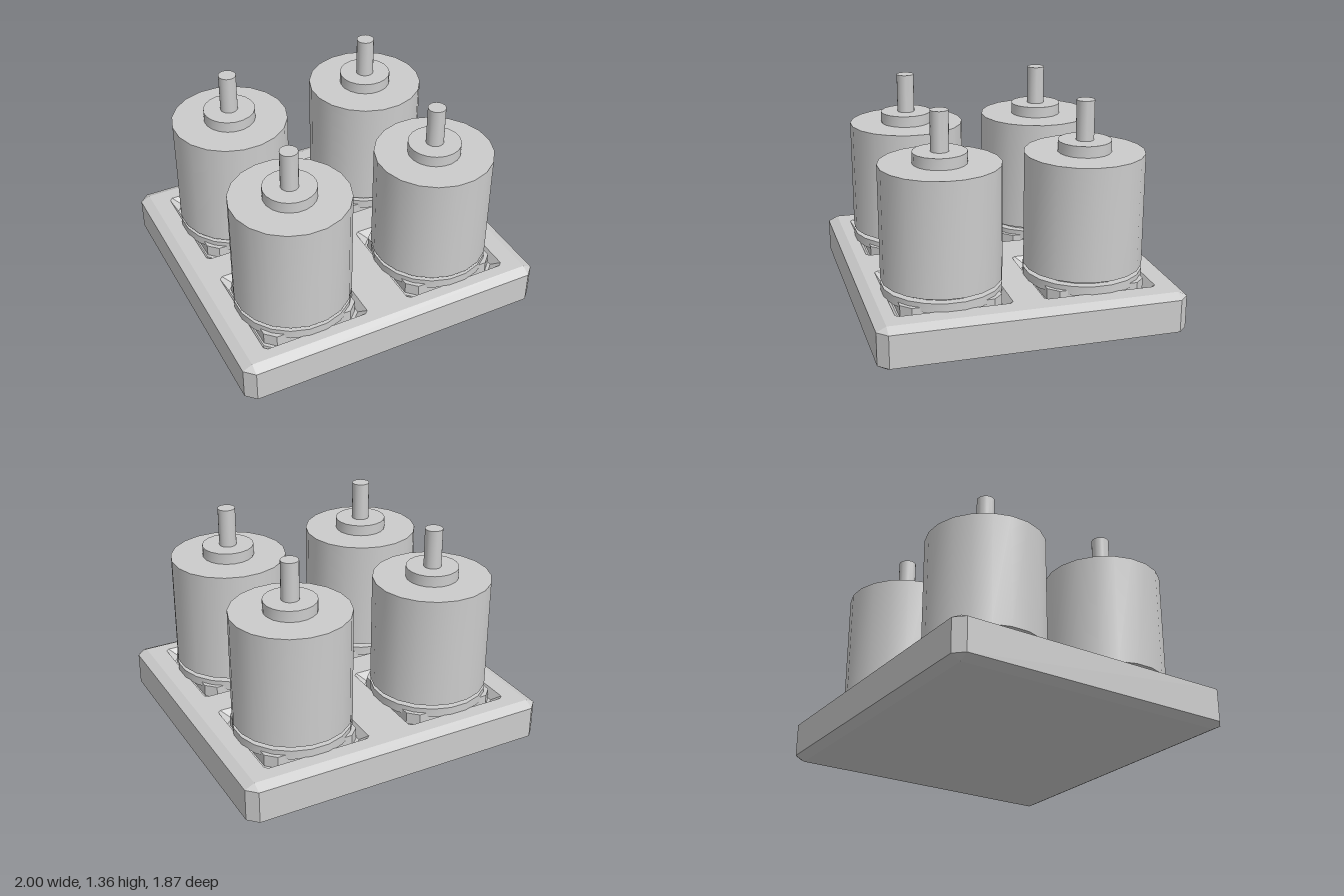
import * as THREE from 'three';
import { toCreasedNormals } from 'three/addons/utils/BufferGeometryUtils.js';

const material = new THREE.MeshStandardMaterial({ color: 0xcccccc });

// Rectangle with cut corners, as eight points at height y
function ring(hx, hz, cut, y, cx = 0, cz = 0) {
  const a = hx - cut, b = hz - cut;
  return [[hx, b], [a, hz], [-a, hz], [-hx, b], [-hx, -b], [-a, -hz], [a, -hz], [hx, -b]]
    .map(([x, z]) => new THREE.Vector3(cx + x, y, cz + z));
}

// Flat-shaded skin through rings; the last (and optionally first) ring is closed
function loft(rings, capFirst, capLast) {
  const pts = [];
  for (let r = 0; r < rings.length - 1; r++) {
    for (let i = 0; i < 8; i++) {
      const j = (i + 1) % 8;
      const [a, b, A, B] = [rings[r][i], rings[r][j], rings[r + 1][i], rings[r + 1][j]];
      pts.push(a, A, b, b, A, B);
    }
  }
  const first = rings[0], last = rings[rings.length - 1];
  for (let i = 1; i < 7; i++) {
    if (capFirst) pts.push(first[0], first[i], first[i + 1]);
    if (capLast) pts.push(last[0], last[i + 1], last[i]);
  }
  const geometry = new THREE.BufferGeometry().setFromPoints(pts);
  geometry.computeVertexNormals();
  return geometry;
}

function add(parent, name, geometry) {
  const mesh = new THREE.Mesh(geometry, material);
  mesh.name = name;
  parent.add(mesh);
  return mesh;
}

function drum(parent, name, radius, y0, y1) {
  const geometry = new THREE.CylinderGeometry(radius, radius, y1 - y0, 20);
  geometry.rotateY(Math.PI / 20);
  geometry.translate(0, (y0 + y1) / 2, 0);
  add(parent, name, toCreasedNormals(geometry, 0.7));
}

export function createModel() {
  const model = new THREE.Group();
  model.name = 'fourPostPlate';
  const top = 0.265;
  const sites = [];
  for (const x of [-0.483, 0.483]) for (const z of [-0.435, 0.455]) sites.push([x, z]);

  // Chamfered base plate
  const base = new THREE.Group();
  base.name = 'base';
  model.add(base);
  add(base, 'baseBody', loft([
    ring(0.94, 0.877, 0, 0),
    ring(1, 0.937, 0.06, 0.03),
    ring(1, 0.937, 0.06, 0.235),
    ring(0.94, 0.877, 0, top),
  ], true, false));

  // Top face with four openings, and the sloping pockets below them
  const flat = (points) => points.map((p) => new THREE.Vector2(p.x, -p.z));
  const face = new THREE.Shape(flat(ring(0.94, 0.877, 0, 0)));
  for (const [x, z] of sites) {
    const rim = ring(0.345, 0.35, 0.02, top, x, z);
    face.holes.push(new THREE.Path(flat(rim)));
    add(base, 'pocket', loft([rim, ring(0.315, 0.315, 0.05, 0.21, x, z)], false, true));
  }
  const faceGeometry = new THREE.ShapeGeometry(face);
  faceGeometry.rotateX(-Math.PI / 2);
  faceGeometry.translate(0, top, 0);
  add(base, 'baseTop', faceGeometry);

  // Four identical stepped posts
  for (const [x, z] of sites) {
    const post = new THREE.Group();
    post.name = 'post';
    post.position.set(x, 0, z);
    model.add(post);
    add(post, 'socketBlock', loft([
      ring(0.305, 0.305, 0.06, 0.2),
      ring(0.305, 0.305, 0.06, 0.285),
    ], false, true));
    drum(post, 'lowerRing', 0.366, 0.258, 0.315);
    drum(post, 'neck', 0.316, 0.315, 0.34);
    drum(post, 'body', 0.366, 0.34, 1.045);
    drum(post, 'collar', 0.163, 1.045, 1.115);
    drum(post, 'shaft', 0.055, 1.115, 1.36);
  }
  return model;
}
